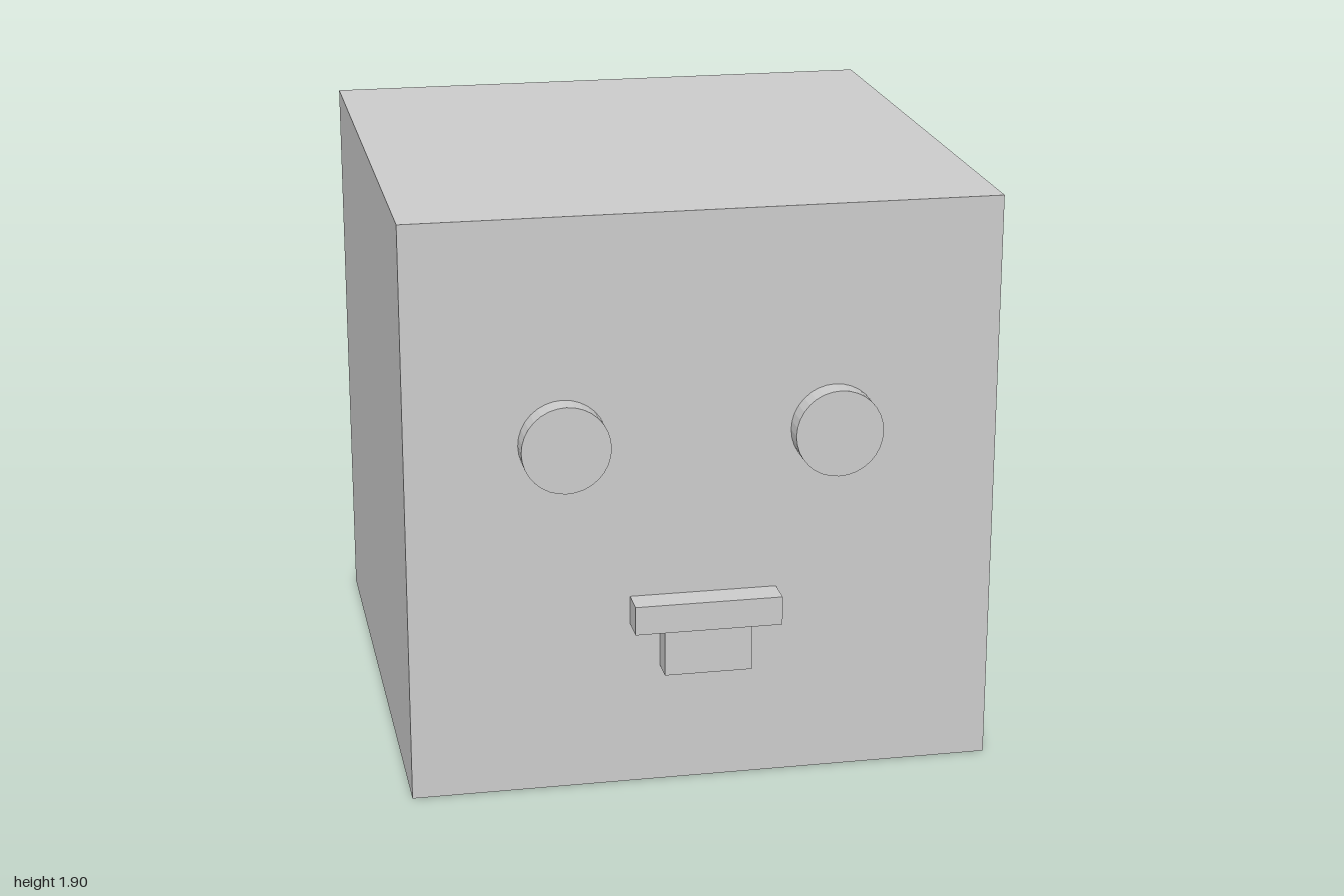
import * as THREE from 'three';

const FACE_Z = 0.904; // front plane of the head

export function createModel() {
  const group = new THREE.Group();
  const material = new THREE.MeshStandardMaterial({ color: 0xcccccc, flatShading: true });

  const add = (name, geometry, x, y, z) => {
    const mesh = new THREE.Mesh(geometry, material);
    mesh.name = name;
    mesh.position.set(x, y, z);
    group.add(mesh);
  };

  // Block standing out from the face, given its width, height and depth
  const addBlock = (name, w, h, depth, y) =>
    add(name, new THREE.BoxGeometry(w, h, depth), -0.002, y, FACE_Z + depth / 2);

  // Cube head
  const size = 1.904;
  add('head', new THREE.BoxGeometry(size, size, size), 0, size / 2, FACE_Z - size / 2);

  // Round eyes, slightly off centre
  const eyeDepth = 0.073;
  const eye = new THREE.CylinderGeometry(0.142, 0.142, eyeDepth, 32).rotateX(Math.PI / 2);
  add('rightEye', eye, -0.452, 1.175, FACE_Z + eyeDepth / 2);
  add('leftEye', eye, 0.42, 1.175, FACE_Z + eyeDepth / 2);

  // Mouth: wide upper lip over a narrower lower block
  addBlock('upperLip', 0.476, 0.095, 0.096, 0.598);
  addBlock('lowerLip', 0.282, 0.15, 0.086, 0.475);

  return group;
}
